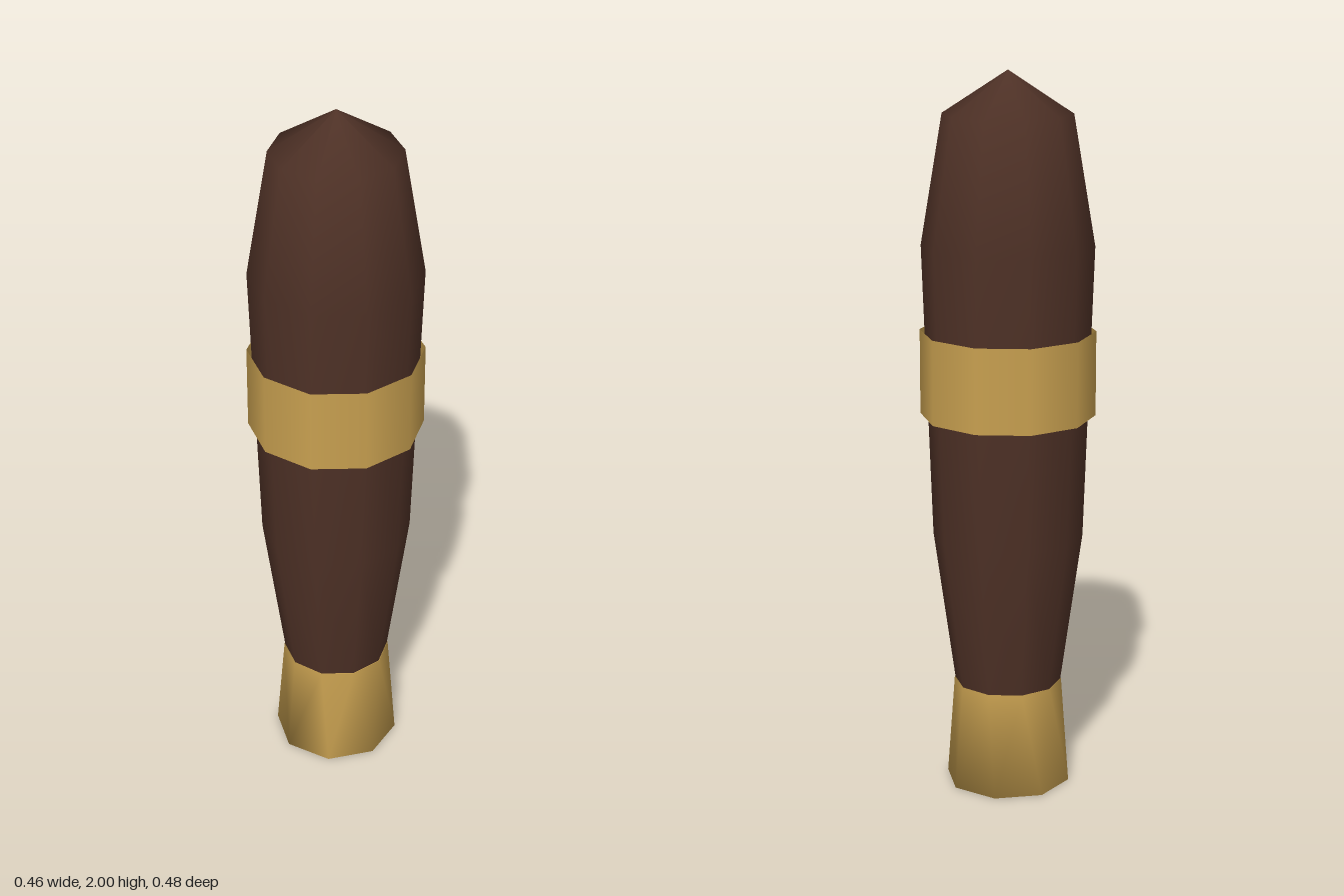
import * as THREE from 'three';

const brown = new THREE.MeshStandardMaterial({ color: 0x4e3126 });
brown.name = 'dark brown';
const gold = new THREE.MeshStandardMaterial({ color: 0xc8a050, side: THREE.DoubleSide });
gold.name = 'gold';

const SIDES = 10; // wrapper and band
const END_SIDES = 8; // flared end

function addMesh(group, name, geometry, material) {
  const mesh = new THREE.Mesh(geometry, material);
  mesh.name = name;
  group.add(mesh);
  return mesh;
}

// Points of a regular polygon, starting at +z and turning towards +x
function ring(sides, radius, y) {
  const points = [];
  for (let i = 0; i < sides; i++) {
    const a = (i / sides) * Math.PI * 2;
    points.push(radius * Math.sin(a), y, radius * Math.cos(a));
  }
  return points;
}

// Smooth wall between two polygons with different side counts, closed below
function loft(bottomSides, bottomRadius, topSides, topRadius, height) {
  const positions = [...ring(bottomSides, bottomRadius, 0), ...ring(topSides, topRadius, height)];
  const b = (i) => i % bottomSides;
  const t = (j) => bottomSides + (j % topSides);
  const index = [];
  let i = 0;
  let j = 0;
  while (i < bottomSides || j < topSides) {
    // Advance whichever polygon has the nearer next corner
    if ((i + 1) / bottomSides <= (j + 1) / topSides) {
      index.push(b(i), b(i + 1), t(j));
      i++;
    } else {
      index.push(b(i), t(j + 1), t(j));
      j++;
    }
  }
  for (let k = 1; k < bottomSides - 1; k++) index.push(0, k + 1, k);
  const geometry = new THREE.BufferGeometry();
  geometry.setAttribute('position', new THREE.Float32BufferAttribute(positions, 3));
  geometry.setIndex(index);
  geometry.computeVertexNormals();
  return geometry;
}

export function createModel() {
  const model = new THREE.Group();
  model.name = 'cigar';

  // Tapered body with a pointed cap
  const profile = [[0.148, 0.295], [0.207, 0.72], [0.235, 1.53], [0.176, 1.885], [0, 2]];
  const body = new THREE.LatheGeometry(profile.map(([r, y]) => new THREE.Vector2(r, y)), SIDES);
  addMesh(model, 'body', body, brown);

  // Flared end
  addMesh(model, 'flaredEnd', loft(END_SIDES, 0.175, SIDES, 0.15, 0.295), gold);

  // Open paper band
  const band = new THREE.CylinderGeometry(0.24, 0.24, 0.235, SIDES, 1, true);
  addMesh(model, 'band', band, gold).position.y = 1.18;

  return model;
}
